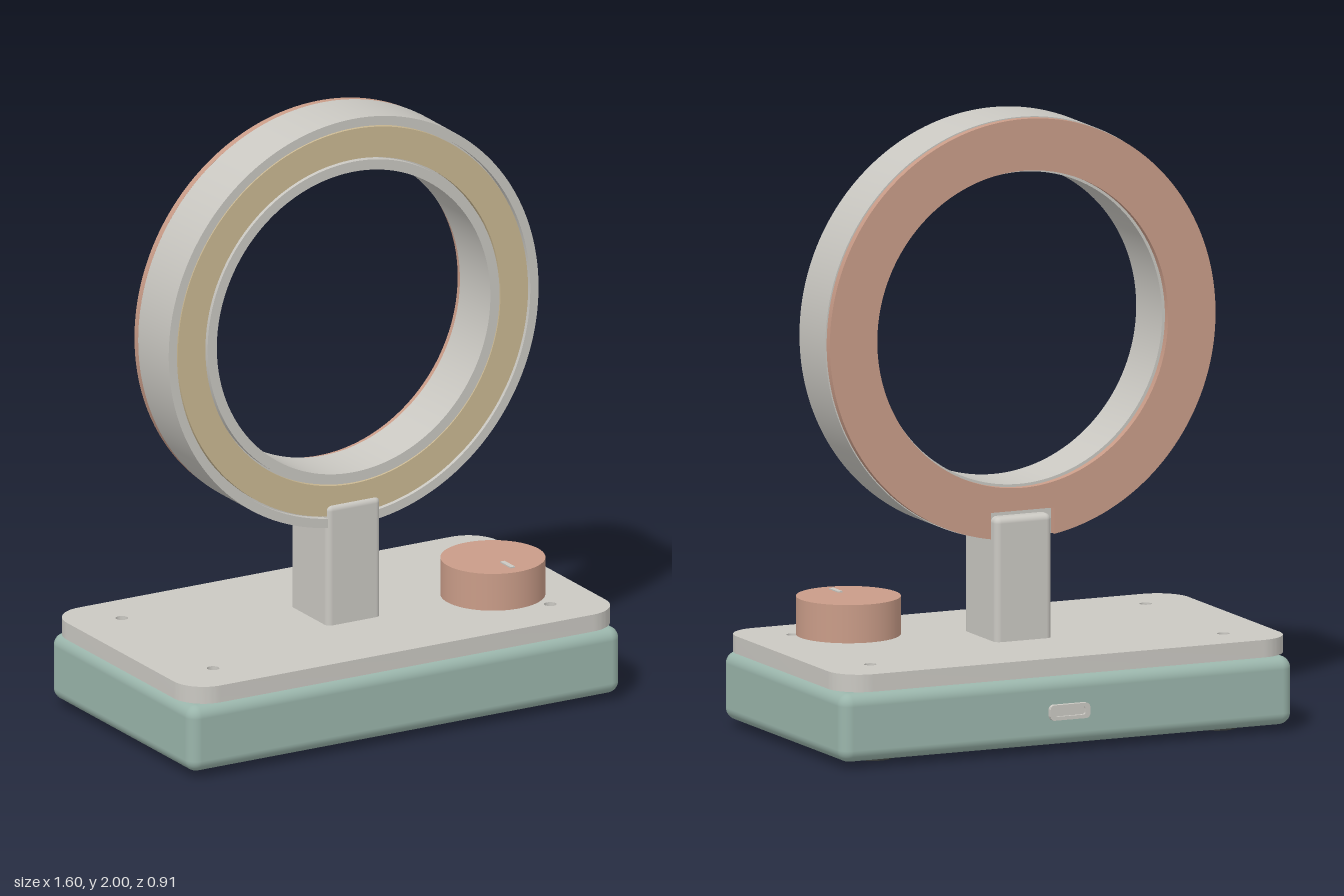
import * as THREE from 'three';
import { toCreasedNormals } from 'three/addons/utils/BufferGeometryUtils.js';
import { RoundedBoxGeometry } from 'three/addons/geometries/RoundedBoxGeometry.js';

const material = (name, color) => {
  const m = new THREE.MeshStandardMaterial({ color });
  m.name = name;
  return m;
};

export function createModel() {
  const shell = material('warm grey', 0xcac8c2);
  const teal = material('sage teal', 0x9ab5ab);
  const copper = material('copper', 0xc99c88);
  const glow = material('warm diffuser', 0xcbb993);
  const rubber = material('dark rubber', 0x353837);

  const model = new THREE.Group();
  model.name = 'ringLamp';
  const midZ = 0.008;   // centre of the base in depth
  const ringY = 1.3145; // centre of the light ring

  const add = (name, geometry, mat, x = 0, y = 0, z = 0, parent = model) => {
    const mesh = new THREE.Mesh(geometry, mat);
    mesh.name = name;
    mesh.position.set(x, y, z);
    parent.add(mesh);
    return mesh;
  };
  const extrude = (shape, depth, curveSegments = 12) => toCreasedNormals(
    new THREE.ExtrudeGeometry(shape, { depth, bevelEnabled: false, curveSegments }), 0.5);
  const disc = (r, h, segments = 32) => new THREE.CylinderGeometry(r, r, h, segments);
  const circlePath = (r, x = 0, y = 0) => new THREE.Path().absarc(x, y, r, 0, Math.PI * 2, true);
  const roundedRect = (w, h, r, path = new THREE.Shape()) => {
    const x = w / 2 - r, y = h / 2 - r;
    path.absarc(x, y, r, 0, Math.PI / 2);
    path.absarc(-x, y, r, Math.PI / 2, Math.PI);
    path.absarc(-x, -y, r, Math.PI, Math.PI * 1.5);
    path.absarc(x, -y, r, Math.PI * 1.5, Math.PI * 2);
    path.closePath();
    return path;
  };

  // Base, feet and raised top plate with screw holes
  add('base', new RoundedBoxGeometry(1.6, 0.223, 0.895, 5, 0.04), teal, 0, 0.1325, midZ);
  const plate = roundedRect(1.6, 0.895, 0.11);
  for (const sx of [-1, 1]) for (const sz of [-1, 1]) {
    add('foot', disc(0.0625, 0.03), rubber, sx * 0.61, 0.015, midZ + sz * 0.274);
    plate.holes.push(circlePath(0.02, sx * 0.625, -sz * 0.288));
    add('screwPost', disc(0.015, 0.06, 20), teal, sx * 0.625, 0.265, midZ + sz * 0.288);
  }
  const topPlate = add('topPlate', extrude(plate, 0.057), shell, 0, 0.249, midZ);
  topPlate.rotation.x = -Math.PI / 2;

  // Charging socket on the back
  const socket = new THREE.Group();
  socket.name = 'socket';
  socket.position.set(0, 0.131, -0.455);
  model.add(socket);
  const frame = roundedRect(0.14, 0.05, 0.014);
  frame.holes.push(roundedRect(0.108, 0.026, 0.008, new THREE.Path()));
  add('socketFrame', extrude(frame, 0.02), shell, 0, 0, 0, socket);
  add('socketFloor', new THREE.BoxGeometry(0.112, 0.03, 0.006), shell, 0, 0, 0.013, socket);

  // Stand
  add('stand', new RoundedBoxGeometry(0.2, 0.465, 0.237, 4, 0.02), shell, 0, 0.4775, 0.0065);

  // Dimmer knob
  const knob = new THREE.Group();
  knob.name = 'knob';
  knob.position.set(0.495, 0, 0.155);
  model.add(knob);
  add('knobCollar', disc(0.096, 0.008), rubber, 0, 0.246, 0, knob);
  add('knobShaft', disc(0.047, 0.08), shell, 0, 0.29, 0, knob);
  add('knobCap', disc(0.168, 0.124, 64), copper, 0, 0.384, 0, knob);
  add('knobMark', new THREE.BoxGeometry(0.016, 0.008, 0.066), shell, 0, 0.446, 0.093, knob);

  // Light ring: two rims, a channel floor and the diffuser
  const ring = new THREE.Group();
  ring.name = 'lightRing';
  ring.position.y = ringY;
  model.add(ring);
  const annulus = (name, inner, outer, z0, z1, mat) => {
    const shape = new THREE.Shape().absarc(0, 0, outer, 0, Math.PI * 2);
    shape.holes.push(circlePath(inner));
    add(name, extrude(shape, z1 - z0, 96), mat, 0, 0, z0, ring);
  };
  annulus('outerRim', 0.655, 0.6855, -0.073, 0.119, shell);
  annulus('innerRim', 0.507, 0.541, -0.073, 0.119, shell);
  annulus('channelFloor', 0.541, 0.655, -0.073, 0.095, shell);
  annulus('diffuser', 0.547, 0.649, 0.095, 0.115, glow);
  annulus('backSpacer', 0.53, 0.575, -0.08, -0.073, shell);

  // Copper back plate, notched around the stand
  const outer = 0.683, halfNotch = 0.112, notchY = -0.588;
  const gap = Math.asin(halfNotch / outer);
  const back = new THREE.Shape();
  back.absarc(0, 0, outer, -Math.PI / 2 + gap, Math.PI * 1.5 - gap);
  back.lineTo(-halfNotch, notchY);
  back.lineTo(halfNotch, notchY);
  back.closePath();
  back.holes.push(circlePath(0.515));
  add('backPlate', extrude(back, 0.024, 96), copper, 0, 0, -0.101, ring);

  return model;
}
